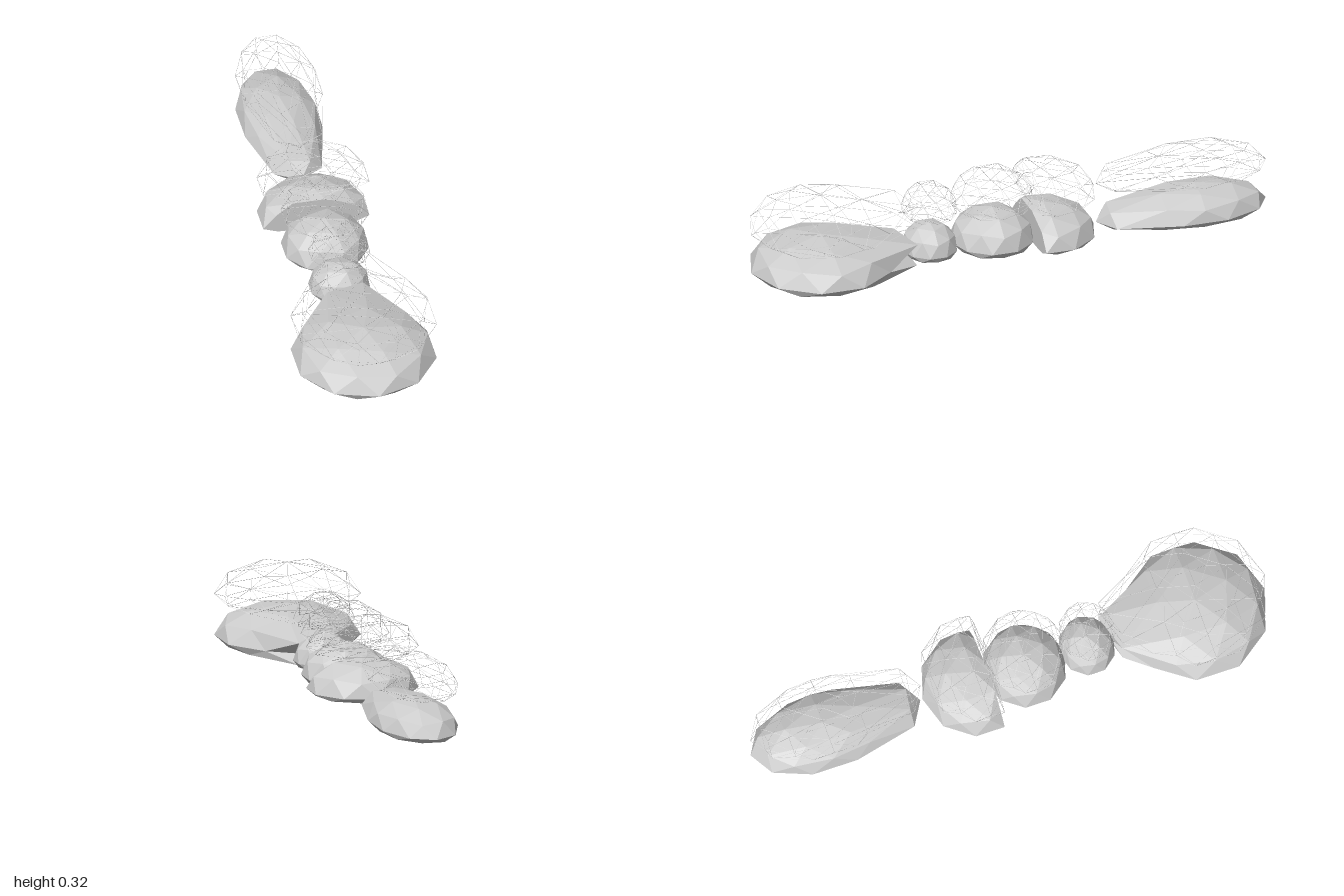
import * as THREE from 'three';
import { mergeGeometries } from 'three/addons/utils/BufferGeometryUtils.js';

const material = new THREE.MeshStandardMaterial({ color: 0xcccccc, flatShading: true });
const LIFT = 0.155; // height of each wire cage above its stone

// rx, rz: radii; z: centre; mid: height of the girdle; up, down: heights above and below it;
// shape: changes the unit-sphere z to form points and flat ends
const stones = [
  { name: 'longStone', rx: 0.153, rz: 0.28, z: -0.72, mid: 0.043, up: 0.103, down: 0.026,
    shape: (x, z) => (z > 0.7 ? z + 0.36 : z) },
  { name: 'cutStone', rx: 0.21, rz: 0.2, z: -0.13, mid: 0.04, up: 0.118, down: 0.024,
    shape: (x, z) => Math.min(z, 0.25) },
  { name: 'roundStone', rx: 0.163, rz: 0.157, z: 0.065, mid: 0.043, up: 0.124, down: 0.03,
    shape: (x, z) => z },
  { name: 'smallStone', rx: 0.115, rz: 0.105, z: 0.308, mid: 0.04, up: 0.105, down: 0.026,
    shape: (x, z) => z },
  { name: 'teardropStone', rx: 0.27, rz: 0.27, z: 0.73, mid: 0.037, up: 0.12, down: 0.037,
    shape: (x, z) => (z < -0.7 && Math.abs(x) < 0.4 ? -1.22 - 0.3 * x : z) },
];

// Faceted ball with a corner straight up
function facetedBall() {
  return new THREE.IcosahedronGeometry(1, 1).rotateZ(-Math.atan2(1, (1 + Math.sqrt(5)) / 2));
}

// Domed top, nearly flat underside, stretched or cut along z
function mould(geometry, s) {
  const p = geometry.attributes.position;
  for (let i = 0; i < p.count; i++) {
    const x = p.getX(i), y = p.getY(i), z = p.getZ(i);
    const h = Math.abs(y) < 1e-4 ? 0 : y > 0 ? y * s.up : -s.down * Math.pow(-y, 0.3);
    p.setXYZ(i, x * s.rx, s.mid + h, s.z + s.rz * s.shape(x, z));
  }
  return geometry;
}

// Thin three-sided rod between two points
function rod(a, b) {
  const dir = b.clone().sub(a), length = dir.length();
  if (length < 1e-4) return null;
  const turn = new THREE.Quaternion().setFromUnitVectors(new THREE.Vector3(0, 1, 0), dir.normalize());
  const g = new THREE.CylinderGeometry(0.0007, 0.0007, length, 3, 1, true);
  g.applyQuaternion(turn);
  return g.translate((a.x + b.x) / 2, (a.y + b.y) / 2, (a.z + b.z) / 2);
}

// One rod along every edge of the stone
function cage(s) {
  const p = mould(new THREE.EdgesGeometry(facetedBall(), 1), s).attributes.position;
  const rods = [];
  for (let i = 0; i < p.count; i += 2) {
    const g = rod(new THREE.Vector3().fromBufferAttribute(p, i),
      new THREE.Vector3().fromBufferAttribute(p, i + 1));
    if (g) rods.push(g);
  }
  return mergeGeometries(rods);
}

export function createModel() {
  const model = new THREE.Group();
  model.name = 'stoneRow';
  for (const s of stones) {
    const geometry = mould(facetedBall(), s);
    geometry.computeVertexNormals();
    const stone = new THREE.Mesh(geometry, material);
    stone.name = s.name;

    const wire = new THREE.Mesh(cage(s), material);
    wire.name = s.name + 'WireCage';
    wire.position.y = LIFT;
    model.add(stone, wire);
  }
  return model;
}
